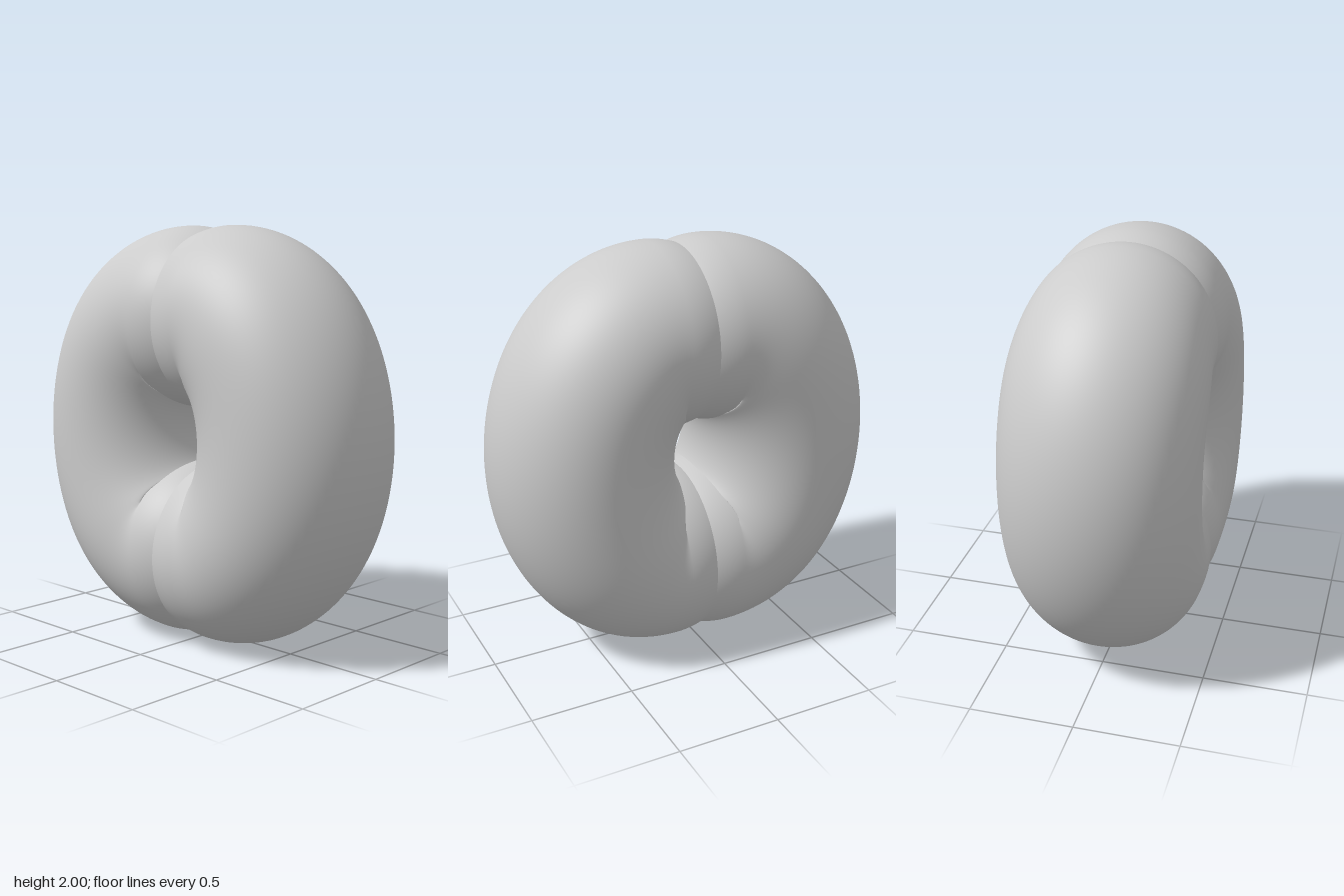
import * as THREE from 'three';
import { mergeVertices } from 'three/addons/utils/BufferGeometryUtils.js';

const HALF_PI = Math.PI / 2;

// Bent capsule: a round tube swept along half an ellipse, closed by domed ends
function bentCapsule() {
  const cx = 0.14, a = 0.38, b = 0.56, r = 0.44;
  const geo = new THREE.PlaneGeometry(2 * Math.PI, 2 * Math.PI, 192, 96);
  const pos = geo.attributes.position;
  for (let i = 0; i < pos.count; i++) {
    const s = pos.getX(i), v = pos.getY(i);
    const t = THREE.MathUtils.clamp(s, -HALF_PI, HALF_PI); // place on the spine
    const e = Math.min(Math.abs(s - t), HALF_PI);          // angle into the dome
    const normal = new THREE.Vector2(Math.cos(t) / a, Math.sin(t) / b).normalize();
    const ring = Math.cos(e);
    const depth = 0.443 + 0.022 * (1 - Math.sin(t) ** 8);   // slightly deeper in the middle
    const off = r * ring * Math.cos(v);
    pos.setXYZ(i,
      cx + a * Math.cos(t) - r * Math.sin(e) + normal.x * off,
      1 + b * Math.sin(t) + normal.y * off,
      depth * ring * Math.sin(v));
  }
  // weld the seam and poles for smooth normals
  geo.deleteAttribute('uv');
  geo.deleteAttribute('normal');
  const welded = mergeVertices(geo, 1e-4);
  welded.computeVertexNormals();
  return welded;
}

export function createModel() {
  const model = new THREE.Group();
  model.name = 'splitRing';
  const material = new THREE.MeshStandardMaterial({ color: 0xcccccc });
  const geo = bentCapsule();

  // two halves facing each other, meeting in a crease at x = 0
  ['leftHalf', 'rightHalf'].forEach((name, i) => {
    const half = new THREE.Mesh(geo, material);
    half.name = name;
    half.rotation.y = i * Math.PI;
    model.add(half);
  });
  return model;
}
